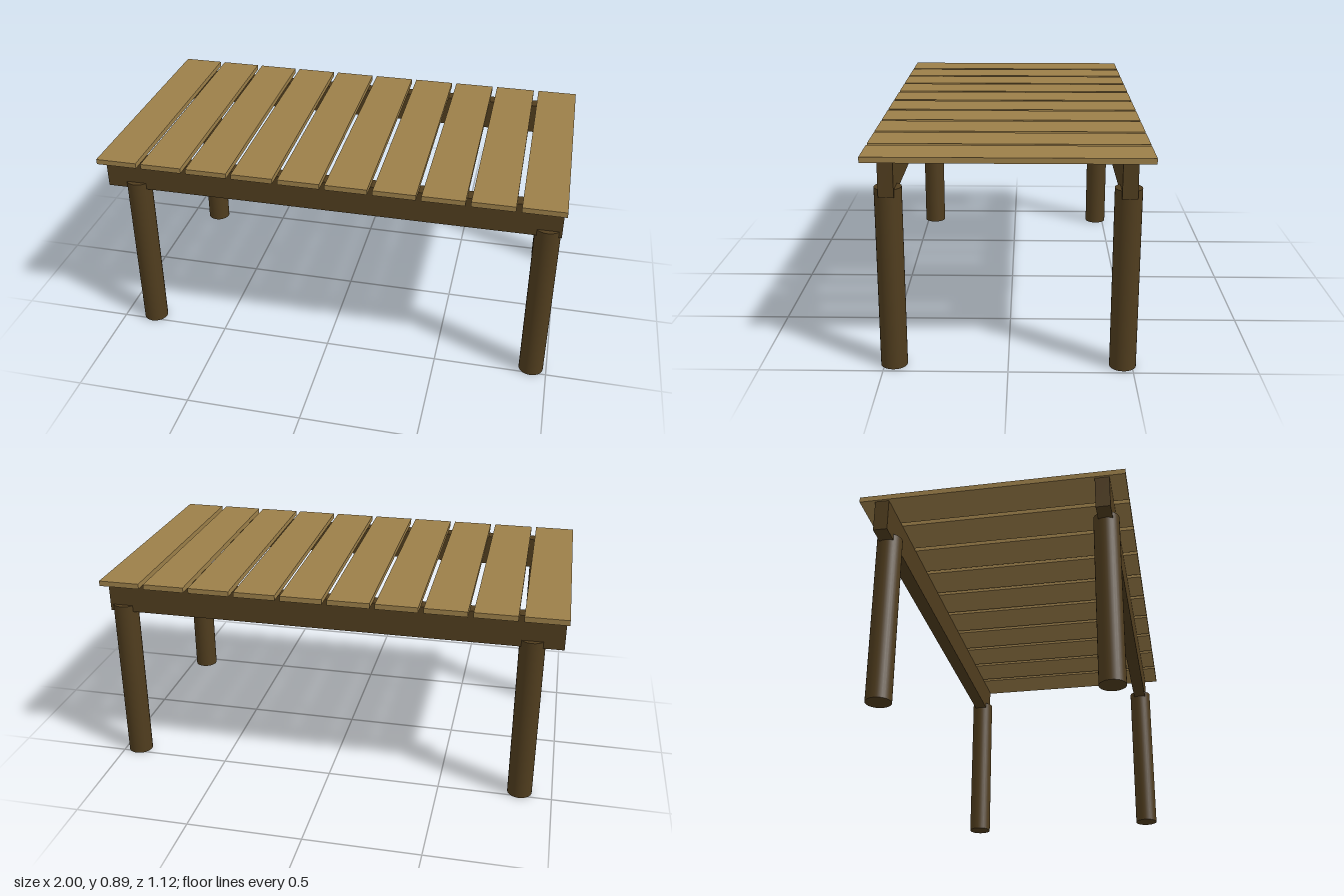
import * as THREE from 'three';

export function createModel() {
  const group = new THREE.Group();
  group.name = 'slattedTable';
  const plankWood = new THREE.MeshStandardMaterial({ color: 0x9c7f49 });
  const darkWood = new THREE.MeshStandardMaterial({ color: 0x503d1e });

  const add = (name, geometry, material, x, y, z) => {
    const mesh = new THREE.Mesh(geometry, material);
    mesh.name = name;
    mesh.position.set(x, y, z);
    group.add(mesh);
  };

  // Table top: evenly spaced cross planks
  const count = 10, width = 0.18, top = 0.887, thickness = 0.023;
  const plank = new THREE.BoxGeometry(width, thickness, 1.115);
  const pitch = (2 - width) / (count - 1);
  for (let i = 0; i < count; i++) {
    add(`plank${i + 1}`, plank, plankWood, -1 + width / 2 + i * pitch, top - thickness / 2, 0);
  }

  // Long beams under the planks, each carried by two round legs
  const beam = new THREE.BoxGeometry(1.98, 0.14, 0.06);
  const legHeight = 0.753;
  const leg = new THREE.CylinderGeometry(0.054, 0.054, legHeight, 32);
  for (const [side, z] of [['front', 0.462], ['back', -0.462]]) {
    add(`${side}Beam`, beam, darkWood, 0, 0.794, z);
    // The legs sit slightly off-centre along the beam
    add(`${side}RightLeg`, leg, darkWood, -0.859, legHeight / 2, z);
    add(`${side}LeftLeg`, leg, darkWood, 0.932, legHeight / 2, z);
  }

  return group;
}
